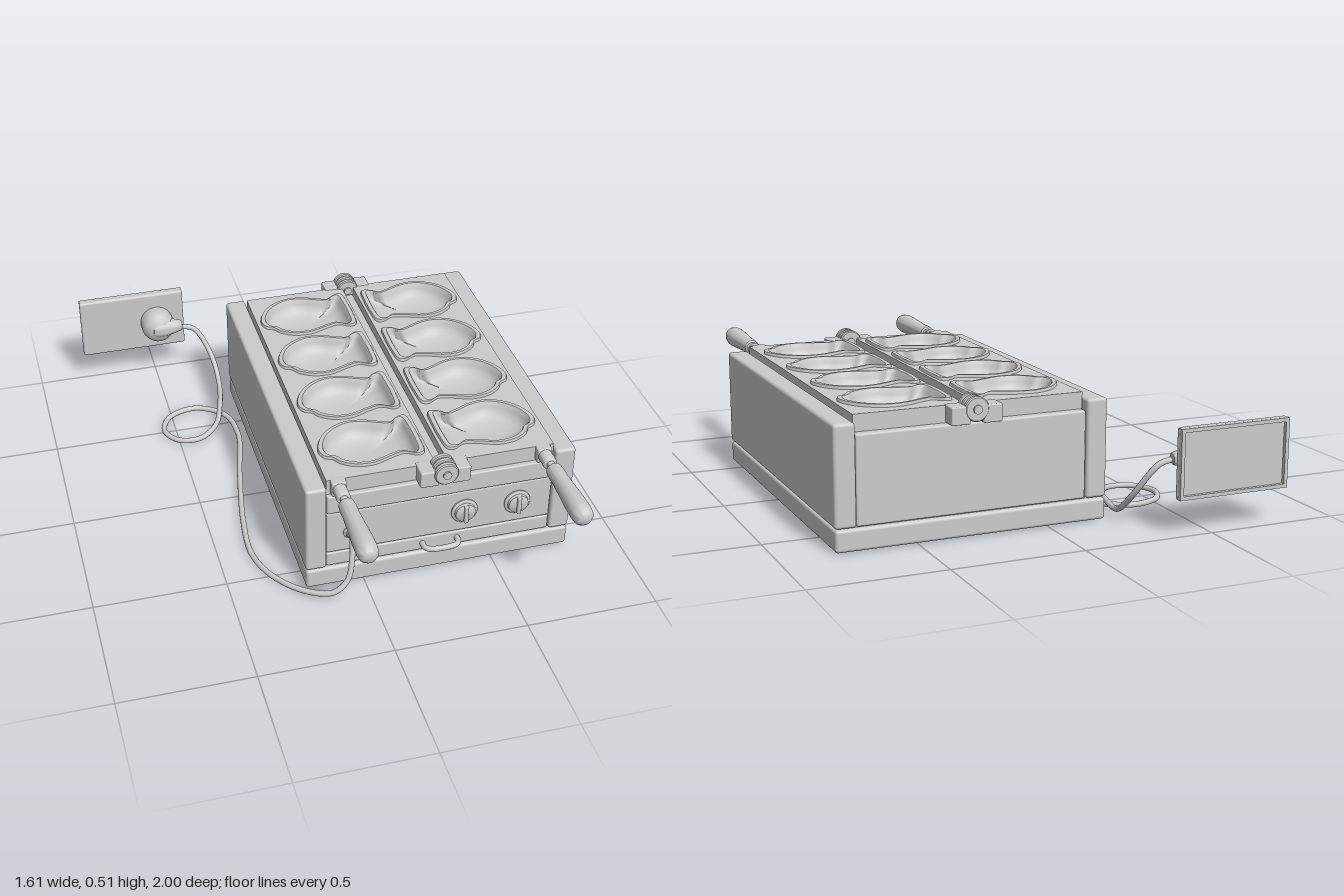
import * as THREE from 'three';
import { RoundedBoxGeometry } from 'three/addons/geometries/RoundedBoxGeometry.js';
import { toCreasedNormals } from 'three/addons/utils/BufferGeometryUtils.js';

const V = (x, y, z) => new THREE.Vector3(x, y, z);
const MID = 0.29; // centre line of the appliance

export function createModel() {
  const model = new THREE.Group();
  const mat = new THREE.MeshStandardMaterial({ color: 0xcccccc });

  const add = (name, geo, x = 0, y = 0, z = 0) => {
    const m = new THREE.Mesh(geo, mat);
    m.name = name;
    m.position.set(x, y, z);
    model.add(m);
    return m;
  };
  // rounded box given by its limits
  const box = (name, x0, x1, y0, y1, z0, z1, r = 0.008) =>
    add(name, new RoundedBoxGeometry(x1 - x0, y1 - y0, z1 - z0, 3, r),
      (x0 + x1) / 2, (y0 + y1) / 2, (z0 + z1) / 2);
  // turned part along +z from [radius, z] pairs
  const turned = (name, pts, x, y, z, seg = 32) => {
    const g = new THREE.LatheGeometry(pts.map(p => new THREE.Vector2(p[0], p[1])), seg);
    g.rotateX(Math.PI / 2);
    return add(name, toCreasedNormals(g, 0.7), x, y, z);
  };

  // Housing
  box('base', -0.222, 0.802, 0.006, 0.087, -0.72, 0.608, 0.012);
  box('sidePanelRight', -0.224, -0.145, 0.09, 0.457, -0.72, 0.608, 0.012);
  box('sidePanelLeft', 0.725, 0.804, 0.09, 0.457, -0.72, 0.608, 0.012);
  box('bodyCore', -0.15, 0.73, 0.08, 0.41, -0.70, 0.585);
  box('backPanel', -0.143, 0.723, 0.09, 0.415, -0.712, -0.66);
  box('frontDrawer', -0.143, 0.723, 0.09, 0.149, 0.55, 0.598, 0.006);
  box('controlPanel', -0.143, 0.723, 0.153, 0.333, 0.55, 0.598, 0.006);
  box('topRail', -0.143, 0.723, 0.337, 0.415, 0.55, 0.604, 0.006);

  // Drawer pull
  add('drawerPull', new THREE.TubeGeometry(new THREE.CatmullRomCurve3([
    V(0.225, 0.122, 0.59), V(0.228, 0.122, 0.625), V(0.245, 0.122, 0.64),
    V(0.34, 0.122, 0.64), V(0.357, 0.122, 0.625), V(0.36, 0.122, 0.59)]), 32, 0.011, 10));

  // Control knobs with grip bars
  for (const x of [0.383, 0.59]) {
    turned('knob', [[0, 0], [0.051, 0], [0.051, 0.008], [0.047, 0.012], [0.04, 0.013],
      [0.038, 0.023], [0.034, 0.026], [0, 0.026]], x, 0.245, 0.595, 40);
    box('knobGrip', x - 0.008, x + 0.008, 0.207, 0.283, 0.605, 0.632, 0.005);
  }

  // Fish-shaped mould outline, head towards -x
  const fishPts = [[-.17, .015], [-.15, -.045], [-.11, -.09], [-.05, -.118], [.015, -.113],
    [.07, -.09], [.105, -.08], [.14, -.105], [.16, -.103], [.168, -.04], [.168, .04],
    [.16, .103], [.138, .11], [.10, .09], [.055, .10], [-.01, .122], [-.07, .117],
    [-.115, .09], [-.135, .062], [-.158, .05]];
  const outline = new THREE.CatmullRomCurve3(fishPts.map(p => V(p[0], 0, p[1])), true).getPoints(80).slice(0, -1);
  const mirrored = outline.map(p => V(-p.x, 0, p.z)).reverse();

  // Raised rim and bowl: rings of [scale, height] from outside to centre
  const rings = [[1.13, 0.47], [1.13, 0.483], [1.115, 0.488], [1.02, 0.488], [1, 0.484], [0.97, 0.465],
    [0.91, 0.448], [0.82, 0.436], [0.68, 0.427], [0.45, 0.421], [0.2, 0.419], [0.001, 0.4185]];
  const mouldGeometry = loop => {
    const n = loop.length, pos = [], idx = [];
    for (const [s, y] of rings) for (const p of loop) pos.push(p.x * s, y, p.z * s);
    for (let j = 0; j < rings.length - 1; j++) for (let i = 0; i < n; i++) {
      const k = (i + 1) % n, a = j * n + i, b = j * n + k, c = a + n, d = b + n;
      idx.push(a, c, b, b, c, d);
    }
    const g = new THREE.BufferGeometry();
    g.setAttribute('position', new THREE.Float32BufferAttribute(pos, 3));
    g.setIndex(idx);
    return toCreasedNormals(g, 0.7);
  };

  // Two baking plates, four moulds each
  const rows = [-0.5, -0.2, 0.1, 0.4];
  for (const side of [-1, 1]) {
    const loop = side < 0 ? outline : mirrored;
    const cx = MID + side * 0.225;
    const x0 = side < 0 ? -0.142 : 0.313, x1 = side < 0 ? 0.267 : 0.722;
    const shape = new THREE.Shape([[x0, -0.585], [x1, -0.585], [x1, 0.68], [x0, 0.68]]
      .map(p => new THREE.Vector2(...p)));
    for (const z of rows) shape.holes.push(new THREE.Path(
      loop.map(p => new THREE.Vector2(cx + p.x * 1.06, -(z + p.z * 1.06)))));
    const g = new THREE.ExtrudeGeometry(shape, { depth: 0.062, bevelEnabled: false });
    g.rotateX(-Math.PI / 2);
    add('bakingPlate', g, 0, 0.415, 0);
    const mould = mouldGeometry(loop);
    for (const z of rows) add('fishMould', mould, cx, 0, z);

    // Handle: socket, thin neck and turned grip
    const hx = MID + side * 0.389;
    box('handleSocket', hx - 0.028, hx + 0.028, 0.42, 0.478, 0.57, 0.612, 0.006);
    turned('handleNeck', [[0, 0], [0.026, 0], [0.026, 0.065], [0.022, 0.07], [0.015, 0.072],
      [0.015, 0.12], [0, 0.12]], hx, 0.45, 0.595);
    turned('handleGrip', [[0, 0], [0.022, 0], [0.029, 0.006], [0.032, 0.03], [0.031, 0.07],
      [0.035, 0.14], [0.039, 0.21], [0.04, 0.26], [0.036, 0.288], [0.024, 0.303],
      [0, 0.308]], hx, 0.45, 0.692);

    // Hinge brackets at both ends
    for (const [z0, z1] of [[0.565, 0.64], [-0.74, -0.67]])
      box('hingeBracket', MID + Math.min(side * 0.025, side * 0.095),
        MID + Math.max(side * 0.025, side * 0.095), 0.415, 0.48, z0, z1, 0.005);
  }

  // Hinge spine, knuckles and pins
  box('hingeSpine', 0.273, 0.307, 0.41, 0.455, -0.65, 0.53, 0.004);
  for (const zc of [0.612, -0.703]) {
    for (const k of [-1, 0, 1])
      turned('hingeKnuckle', [[0, -0.011], [0.041, -0.011], [0.045, -0.007], [0.045, 0.007],
        [0.041, 0.011], [0, 0.011]], MID, 0.466, zc + k * 0.027);
    turned('hingePin', [[0, -0.045], [0.016, -0.045], [0.016, 0.045], [0, 0.045]], MID, 0.466, zc, 20);
  }

  // Power cable with a loop lying on the floor
  turned('cableGrommet', [[0, 0], [0.026, 0], [0.026, 0.008], [0.018, 0.014], [0.016, 0.026],
    [0, 0.026]], -0.055, 0.237, 0.594);
  add('powerCable', new THREE.TubeGeometry(new THREE.CatmullRomCurve3([
    V(-.055, .237, .6), V(-.056, .228, .63), V(-.062, .16, .655), V(-.085, .08, .68), V(-.14, .035, .685),
    V(-.235, .018, .63), V(-.33, .012, .51), V(-.375, .012, .37), V(-.362, .012, .16),
    V(-.31, .012, -.13), V(-.257, .012, -.4), V(-.285, .012, -.55), V(-.395, .013, -.623),
    V(-.51, .014, -.585), V(-.55, .015, -.49), V(-.505, .017, -.41), V(-.42, .02, -.395),
    V(-.34, .026, -.46), V(-.295, .035, -.58), V(-.264, .045, -.74), V(-.272, .12, -.83),
    V(-.315, .215, -.885), V(-.345, .245, -.895), V(-.4, .257, -.897)]), 260, 0.011, 10));

  // Wall plate with a shallow recess behind
  box('wallPlate', -0.809, -0.365, 0.13, 0.392, -0.986, -0.965, 0.01);
  const frame = new THREE.Shape([[-0.807, 0.132], [-0.367, 0.132], [-0.367, 0.39], [-0.807, 0.39]]
    .map(p => new THREE.Vector2(...p)));
  frame.holes.push(new THREE.Path([[-0.793, 0.146], [-0.793, 0.376], [-0.381, 0.376], [-0.381, 0.146]]
    .map(p => new THREE.Vector2(...p))));
  add('wallPlateFrame', new THREE.ExtrudeGeometry(frame, { depth: 0.025, bevelEnabled: false }), 0, 0, -1);

  // Angled plug
  turned('plugBody', [[0, 0], [0.068, 0], [0.07, 0.02], [0.069, 0.05], [0.06, 0.075],
    [0.04, 0.09], [0, 0.097]], -0.485, 0.26, -0.967);
  const neck = turned('plugNeck', [[0, -0.03], [0.035, -0.02], [0.043, 0], [0.04, 0.035], [0.03, 0.075],
    [0.023, 0.1], [0.018, 0.105], [0, 0.105]], -0.49, 0.26, -0.905);
  neck.rotation.y = Math.PI / 2;

  return model;
}
